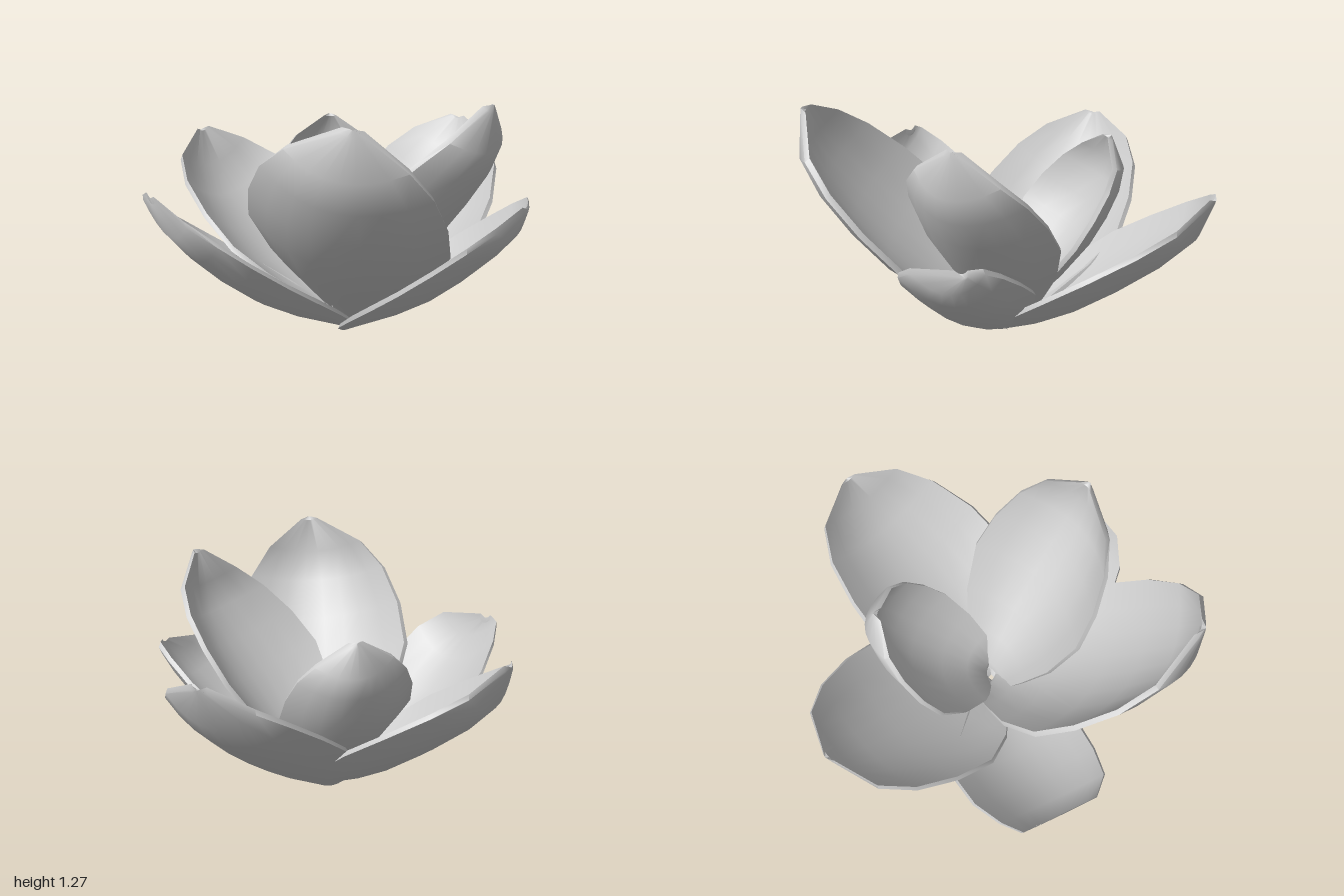
import * as THREE from 'three';
import { toCreasedNormals } from 'three/addons/utils/BufferGeometryUtils.js';

// Each petal: base, middle and upper bend of the outer face, tip, then the two edges at its widest
const PETALS = {
  rightPetal: [[-0.07, 0.01, 0.1], [0.38, 0.26, 0.12], [0.92, 0.7, 0.04], [1, 0.91, 0.03], [0.34, 0.46, -0.33], [0.37, 0.46, 0.57]],
  backPetal: [[-0.08, 0.03, 0.08], [-0.08, 0.24, -0.36], [-0.08, 0.67, -0.89], [-0.08, 0.89, -0.96], [-0.54, 0.45, -0.3], [0.37, 0.45, -0.33]],
  backLeftPetal: [[-0.12, 0.01, 0.08], [-0.55, 0.23, -0.14], [-0.98, 0.65, -0.27], [-0.96, 0.8, -0.41], [-0.66, 0.4, 0.19], [-0.48, 0.46, -0.51]],
  frontLowPetal: [[-0.1, 0, 0.11], [0.03, 0.25, 0.56], [0.12, 0.62, 0.94], [0.2, 0.73, 0.95], [-0.34, 0.36, 0.58], [0.31, 0.47, 0.5]],
  tallLeftPetal: [[-0.1, 0.05, 0.1], [-0.59, 0.52, 0.41], [-0.88, 1.05, 0.66], [-0.84, 1.27, 0.7], [-0.25, 0.58, 0.81], [-0.62, 0.7, -0.1]],
  tallFrontPetal: [[-0.07, 0.06, 0.12], [-0.02, 0.55, 0.55], [0.04, 1.02, 0.84], [0.06, 1.24, 0.82], [-0.42, 0.68, 0.38], [0.38, 0.66, 0.38]],
  innerPetal: [[-0.06, 0.07, 0.08], [0.2, 0.46, -0.27], [0.34, 0.84, -0.39], [0.3, 1, -0.35], [-0.2, 0.56, -0.36], [0.32, 0.53, 0.09]],
};

// Rows along a petal: position, relative width, thickness (middle at 1/3, bend at 2/3)
const ROWS = [
  [0, 0.3, 0], [0.02, 0.36, 0.02], [0.1, 0.58, 0.03], [0.2, 0.83, 0.035], [1 / 3, 1, 0.035],
  [0.45, 0.95, 0.035], [0.56, 0.8, 0.035], [2 / 3, 0.56, 0.035], [0.95, 0.1, 0.03], [1, 0.02, 0],
];
const STEPS = 8;

function petalGeometry(points) {
  let [base, mid, bend, tip, a, b] = points.map((p) => new THREE.Vector3(...p));
  const cup = a.clone().add(b).multiplyScalar(0.5).sub(mid);
  const along = tip.clone().sub(base);
  // order the edges so the outer face points away from the cup
  if (b.clone().sub(a).cross(along).dot(cup) > 0) [a, b] = [b, a];
  const side = b.clone().sub(a).multiplyScalar(0.5);
  const inward = cup.clone().normalize();
  const spine = new THREE.CatmullRomCurve3([base, mid, bend, tip]);

  // closed cross-section: outer face one way, inner face back
  const pos = [], index = [];
  const ring = 2 * (STEPS + 1);
  ROWS.forEach(([t, w, thick], i) => {
    const centre = spine.getPoint(t);
    for (let j = 0; j < ring; j++) {
      const inner = j > STEPS;
      const s = inner ? (1 - 2 * (j - STEPS - 1) / STEPS) * 0.965 : -1 + 2 * j / STEPS;
      const p = centre.clone()
        .addScaledVector(side, s * w)
        .addScaledVector(cup, s * s * w)
        .addScaledVector(inward, inner ? thick : 0);
      pos.push(p.x, p.y, p.z);
      if (i < ROWS.length - 1) {
        const n = (j + 1) % ring, r = i * ring, q = r + ring;
        index.push(r + j, r + n, q + n, r + j, q + n, q + j);
      }
    }
  });
  const geo = new THREE.BufferGeometry();
  geo.setAttribute('position', new THREE.Float32BufferAttribute(pos, 3));
  geo.setIndex(index);
  return toCreasedNormals(geo, 0.9);
}

export function createModel() {
  const flower = new THREE.Group();
  flower.name = 'flower';
  const material = new THREE.MeshStandardMaterial({ color: 0xcccccc, side: THREE.DoubleSide });
  for (const [name, points] of Object.entries(PETALS)) {
    const petal = new THREE.Mesh(petalGeometry(points), material);
    petal.name = name;
    flower.add(petal);
  }
  return flower;
}
